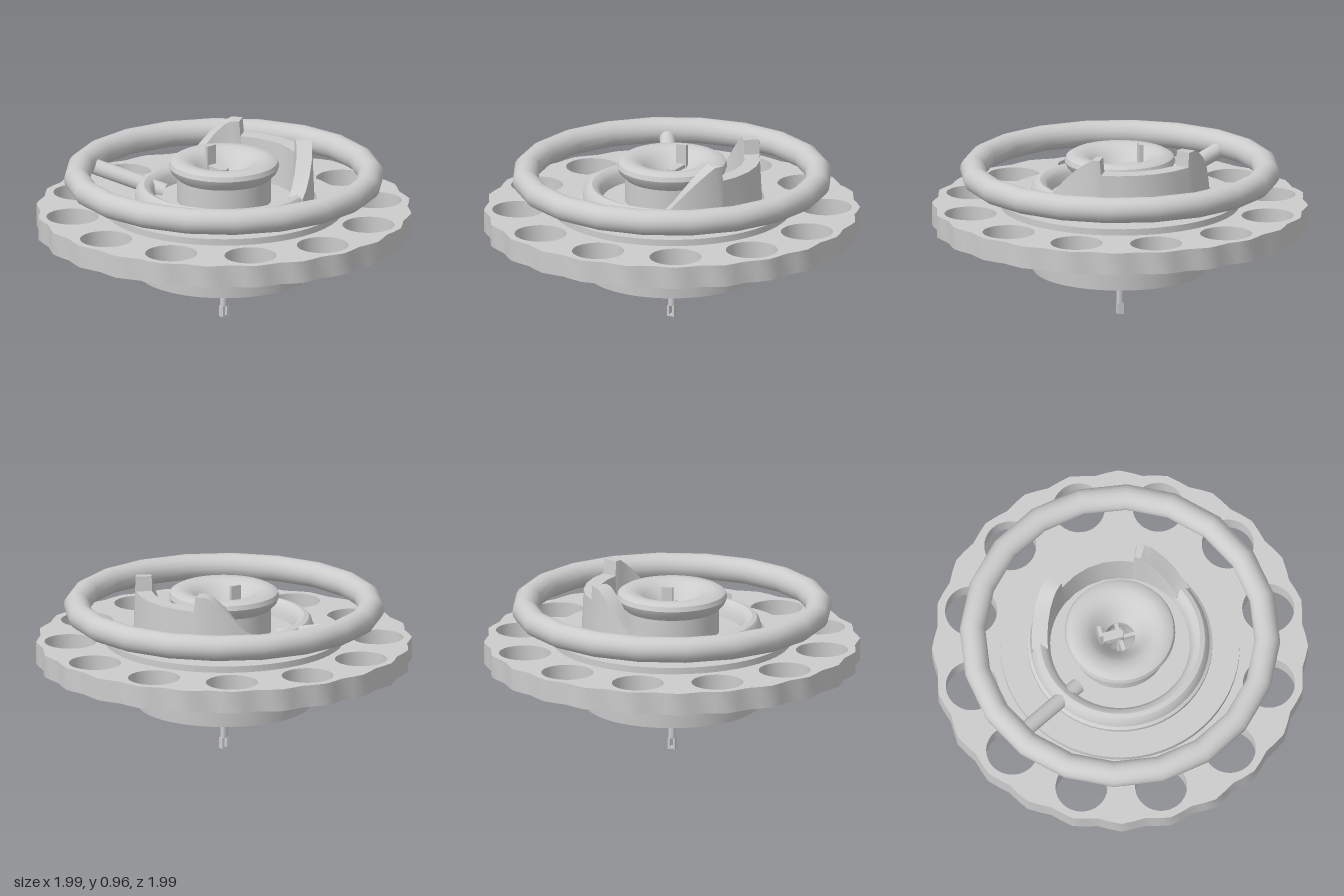
import * as THREE from 'three';
import { toCreasedNormals } from 'three/addons/utils/BufferGeometryUtils.js';

const rad = THREE.MathUtils.degToRad;

export function createModel() {
  const model = new THREE.Group();
  const grey = new THREE.MeshStandardMaterial({ color: 0xcccccc });
  grey.name = 'light grey';

  const add = (name, geometry, crease = 0.6) => {
    const mesh = new THREE.Mesh(crease ? toCreasedNormals(geometry, crease) : geometry, grey);
    mesh.name = name;
    model.add(mesh);
    return mesh;
  };
  // Closed profile of [radius, height], counter-clockwise, turned about y
  const turn = (name, profile, segments = 64) => {
    const pts = [...profile, profile[0]].map(([r, y]) => new THREE.Vector2(r, y));
    return add(name, new THREE.LatheGeometry(pts, segments));
  };

  // Wide lower plate with a scalloped rim and twelve round holes
  const plate = new THREE.Shape();
  const rim = [];
  for (let i = 0; i < 96; i++) {
    const a = (i / 96) * Math.PI * 2;
    const r = 0.985 + 0.012 * Math.cos(24 * a);
    rim.push(new THREE.Vector2(r * Math.cos(a), r * Math.sin(a)));
  }
  plate.setFromPoints(rim);
  const addHole = (x, y, r) => {
    const hole = new THREE.Path();
    hole.absarc(x, y, r, 0, Math.PI * 2, true);
    plate.holes.push(hole);
  };
  addHole(0, 0, 0.46);
  for (let i = 0; i < 12; i++) {
    const a = (i / 12) * Math.PI * 2;
    addHole(0.815 * Math.cos(a), 0.815 * Math.sin(a), 0.138);
  }
  const plateGeometry = new THREE.ExtrudeGeometry(plate, { depth: 0.12, bevelEnabled: false, curveSegments: 20 });
  plateGeometry.rotateX(-Math.PI / 2).translate(0, 0.48, 0);
  add('holedPlate', plateGeometry);

  // Open cup below the plate
  turn('lowerCup', [[0.445, 0.25], [0.462, 0.25], [0.48, 0.49], [0.48, 0.6], [0.455, 0.6]]);

  // Thin disc on the plate and stepped dish above it
  turn('disc', [[0.1, 0.6], [0.635, 0.6], [0.635, 0.635], [0.1, 0.635]]);
  turn('dish', [
    [0.25, 0.63], [0.49, 0.63], [0.49, 0.66], [0.475, 0.67], [0.465, 0.71], [0.45, 0.728],
    [0.425, 0.735], [0.4, 0.725], [0.38, 0.7], [0.37, 0.65], [0.25, 0.65],
  ]);

  // Central hub with rounded cap and funnel bore
  turn('hub', [
    [0.1, 0.31], [0.19, 0.31], [0.19, 0.6], [0.25, 0.64], [0.25, 0.78], [0.28, 0.81], [0.293, 0.84],
    [0.285, 0.865], [0.26, 0.88], [0.22, 0.88], [0.18, 0.868], [0.15, 0.845], [0.11, 0.8], [0.08, 0.76],
    [0.08, 0.72], [0.1, 0.68],
  ]);

  // Curved guard wall: horns rise to either end of a level middle stretch
  const stations = [
    [-82, 0.72], [-74, 0.75], [-66, 0.82], [-58, 0.89], [-50, 0.94], [-45, 0.96], [-38, 0.96], [-37, 0.88],
    [-24, 0.88], [-11, 0.88], [2, 0.88], [15, 0.88], [26, 0.88], [27, 0.96], [32, 0.96], [38, 0.93],
    [46, 0.88], [54, 0.82], [61, 0.76], [67, 0.72],
  ];
  const sections = stations.map(([deg, top]) => {
    const c = Math.cos(rad(deg)), s = Math.sin(rad(deg));
    return [[0.37, 0.64], [0.48, 0.64], [0.468, top], [0.385, top]].map(([r, y]) => [r * c, y, r * s]);
  });
  const tri = [];
  const quad = (a, b, c, d) => tri.push(...a, ...b, ...c, ...a, ...c, ...d);
  for (let i = 0; i < sections.length - 1; i++) {
    const p = sections[i], q = sections[i + 1];
    for (let k = 0; k < 4; k++) quad(p[k], p[(k + 1) % 4], q[(k + 1) % 4], q[k]);
  }
  quad(...[...sections[0]].reverse());
  quad(...sections[sections.length - 1]);
  const wall = new THREE.BufferGeometry();
  wall.setAttribute('position', new THREE.Float32BufferAttribute(tri, 3));
  add('guardWall', wall);

  // Upper hand ring and the single spoke that carries it
  const ring = new THREE.TorusGeometry(0.782, 0.068, 16, 20);
  ring.rotateX(Math.PI / 2).translate(0, 0.778, 0);
  add('handRing', ring, 0);

  const spokePath = new THREE.LineCurve3(new THREE.Vector3(-0.17, 0.66, -0.28), new THREE.Vector3(-0.39, 0.765, -0.66));
  add('spoke', new THREE.TubeGeometry(spokePath, 1, 0.042, 16), 0);

  // Thin centre rod, forked at its foot
  add('rod', new THREE.CylinderGeometry(0.02, 0.02, 0.76, 16).translate(0, 0.44, 0));
  for (const side of [-1, 1]) {
    add('rodFork', new THREE.BoxGeometry(0.012, 0.06, 0.032).translate(side * 0.014, 0.03, 0));
  }
  add('rodTip', new THREE.BoxGeometry(0.04, 0.012, 0.032).translate(0, 0.006, 0));

  // Cross bars that hold the rod in the bore
  add('crossBarX', new THREE.BoxGeometry(0.18, 0.03, 0.02).translate(0, 0.74, 0));
  add('crossBarZ', new THREE.BoxGeometry(0.02, 0.03, 0.18).translate(0, 0.74, 0));

  // Small lever arm with an upright tab
  add('leverTab', new THREE.BoxGeometry(0.06, 0.13, 0.02).translate(0, 0.86, -0.11));
  add('leverArm', new THREE.BoxGeometry(0.05, 0.02, 0.13).translate(0, 0.81, -0.055));

  return model;
}
